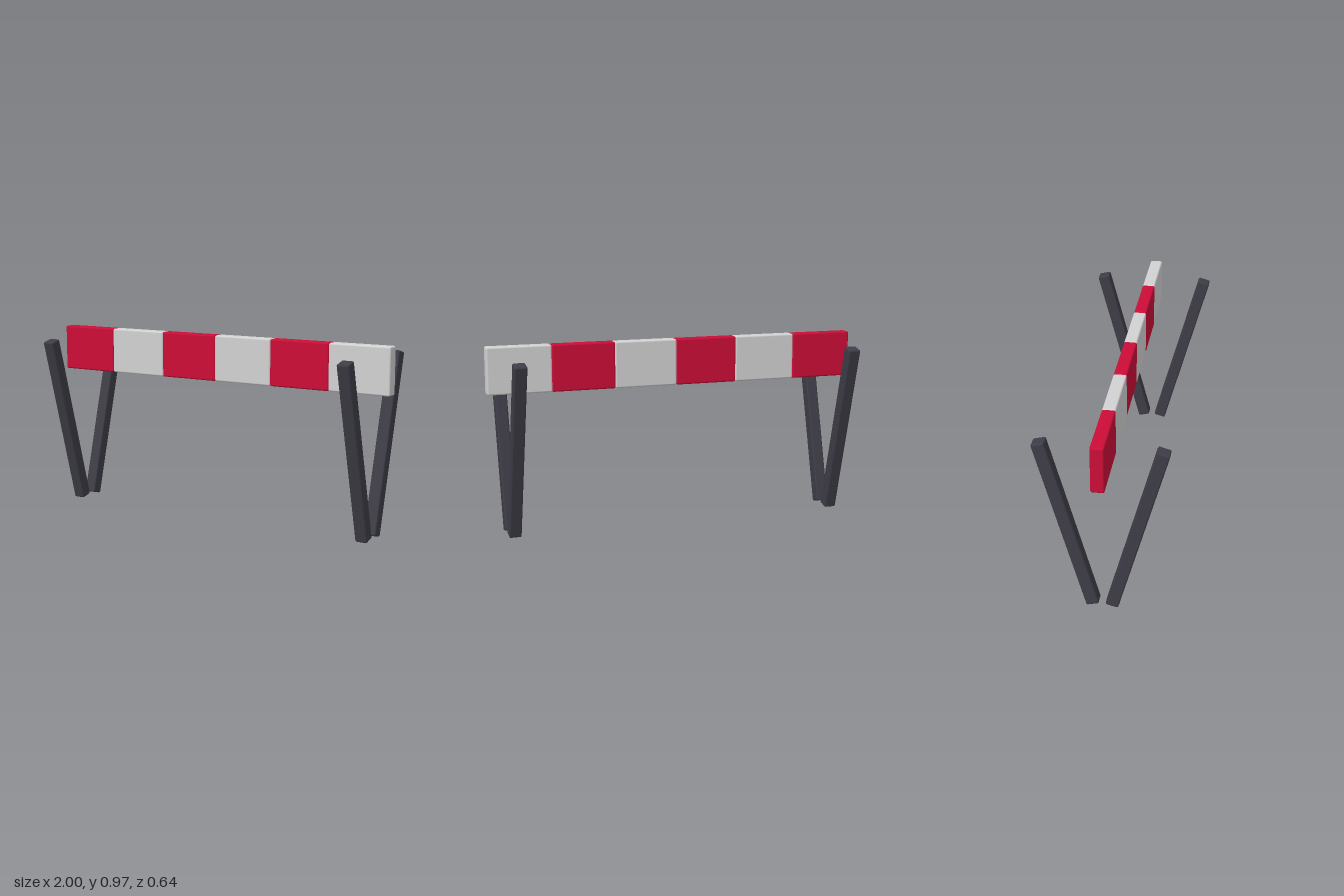
import * as THREE from 'three';
import { RoundedBoxGeometry } from 'three/addons/geometries/RoundedBoxGeometry.js';

const red = new THREE.MeshStandardMaterial({ color: 0xcc0d37 });
red.name = 'red';
const white = new THREE.MeshStandardMaterial({ color: 0xd2d2d2 });
white.name = 'white';
const charcoal = new THREE.MeshStandardMaterial({ color: 0x3e3d47 });
charcoal.name = 'charcoal';

export function createModel() {
  const model = new THREE.Group();
  model.name = 'barrier';

  // Crossbar: six bevelled blocks in alternating colours
  const bar = new THREE.Group();
  bar.name = 'crossbar';
  const count = 6;
  const width = 2 / count;
  const blockGeometry = new RoundedBoxGeometry(width, 0.242, 0.066, 2, 0.009);
  for (let i = 0; i < count; i++) {
    const block = new THREE.Mesh(blockGeometry, i % 2 ? white : red);
    block.name = i % 2 ? 'whiteBlock' : 'redBlock';
    block.position.set(-1 + width * (i + 0.5), 0.854, 0);
    bar.add(block);
  }
  model.add(bar);

  // Legs: a V-shaped pair near each end, spreading towards the top
  const legGeometry = new RoundedBoxGeometry(0.064, 0.943, 0.064, 2, 0.008);
  for (const x of [-0.892, 0.887]) {
    const pair = new THREE.Group();
    pair.name = x > 0 ? 'leftLegs' : 'rightLegs';
    for (const side of [1, -1]) {
      const leg = new THREE.Mesh(legGeometry, charcoal);
      leg.name = side > 0 ? 'frontLeg' : 'backLeg';
      leg.position.set(x, 0.463, side * 0.168);
      leg.rotation.x = side * THREE.MathUtils.degToRad(14.9);
      pair.add(leg);
    }
    model.add(pair);
  }
  return model;
}
